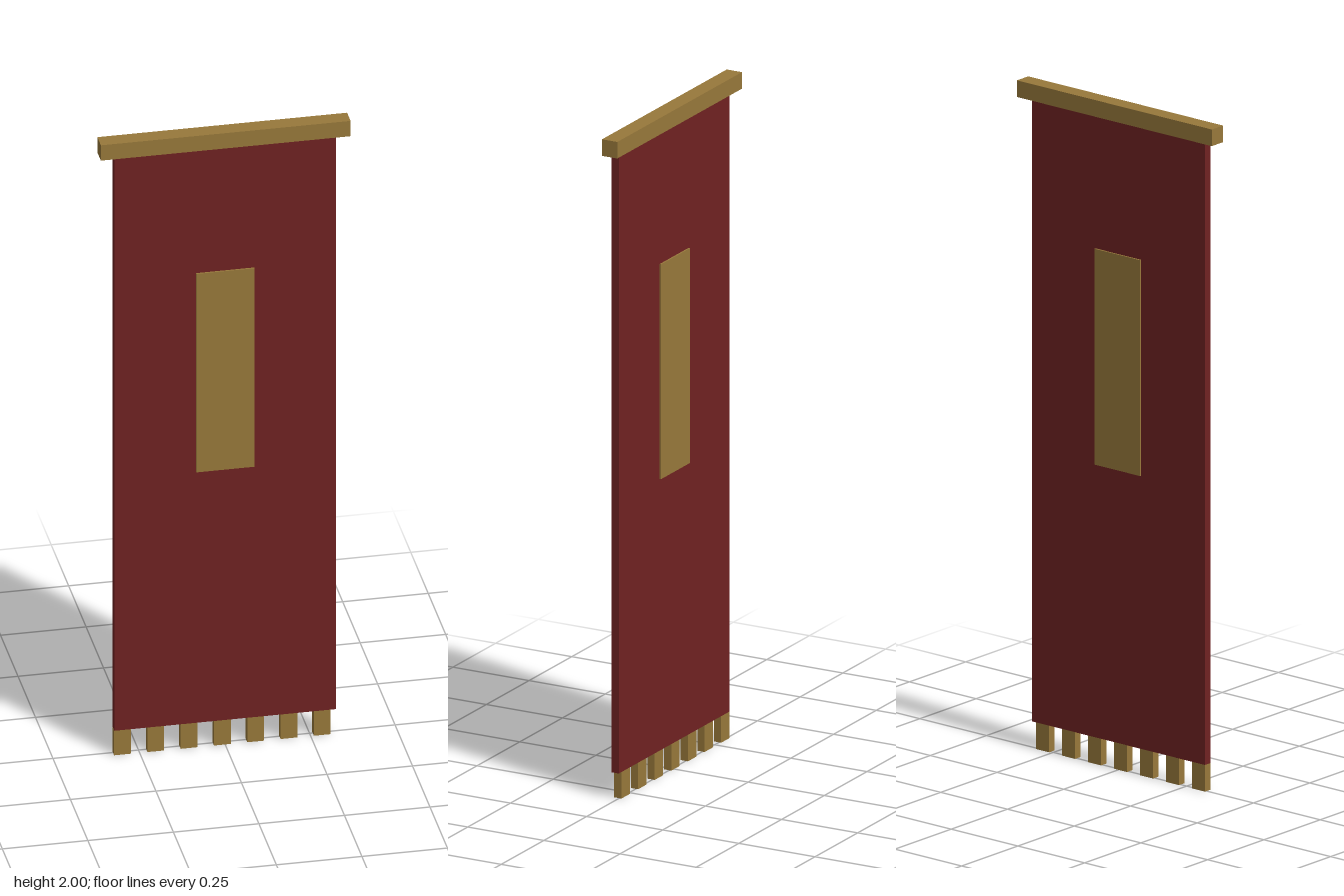
import * as THREE from 'three';

export function createModel() {
  const banner = new THREE.Group();
  banner.name = 'hangingBanner';

  const gold = new THREE.MeshStandardMaterial({ name: 'gold', color: 0x98793b });
  const red = new THREE.MeshStandardMaterial({ name: 'darkRed', color: 0x702222 });

  // Box given by its size and centre
  function box(name, material, size, centre) {
    const mesh = new THREE.Mesh(new THREE.BoxGeometry(...size), material);
    mesh.name = name;
    mesh.position.set(...centre);
    banner.add(mesh);
  }

  const clothZ = 0.005;
  const clothDepth = 0.024;

  // Top rod and hanging cloth
  box('topBar', gold, [0.73, 0.05, 0.05], [0, 1.975, 0]);
  box('cloth', red, [0.648, 1.87, clothDepth], [0, 1.015, clothZ]);

  // Emblem plate on both faces of the cloth
  const plate = 0.005;
  for (const side of [1, -1]) {
    box(side > 0 ? 'frontEmblem' : 'backEmblem', gold, [0.17, 0.648, plate],
      [0, 1.224, clothZ + side * (clothDepth + plate) / 2]);
  }

  // Fringe tabs, flush with the right edge of the cloth
  for (let i = 0; i < 7; i++) {
    box('fringeTab' + (i + 1), gold, [0.049, 0.08, clothDepth],
      [-0.3 + i * 0.0973, 0.04, clothZ]);
  }

  return banner;
}
